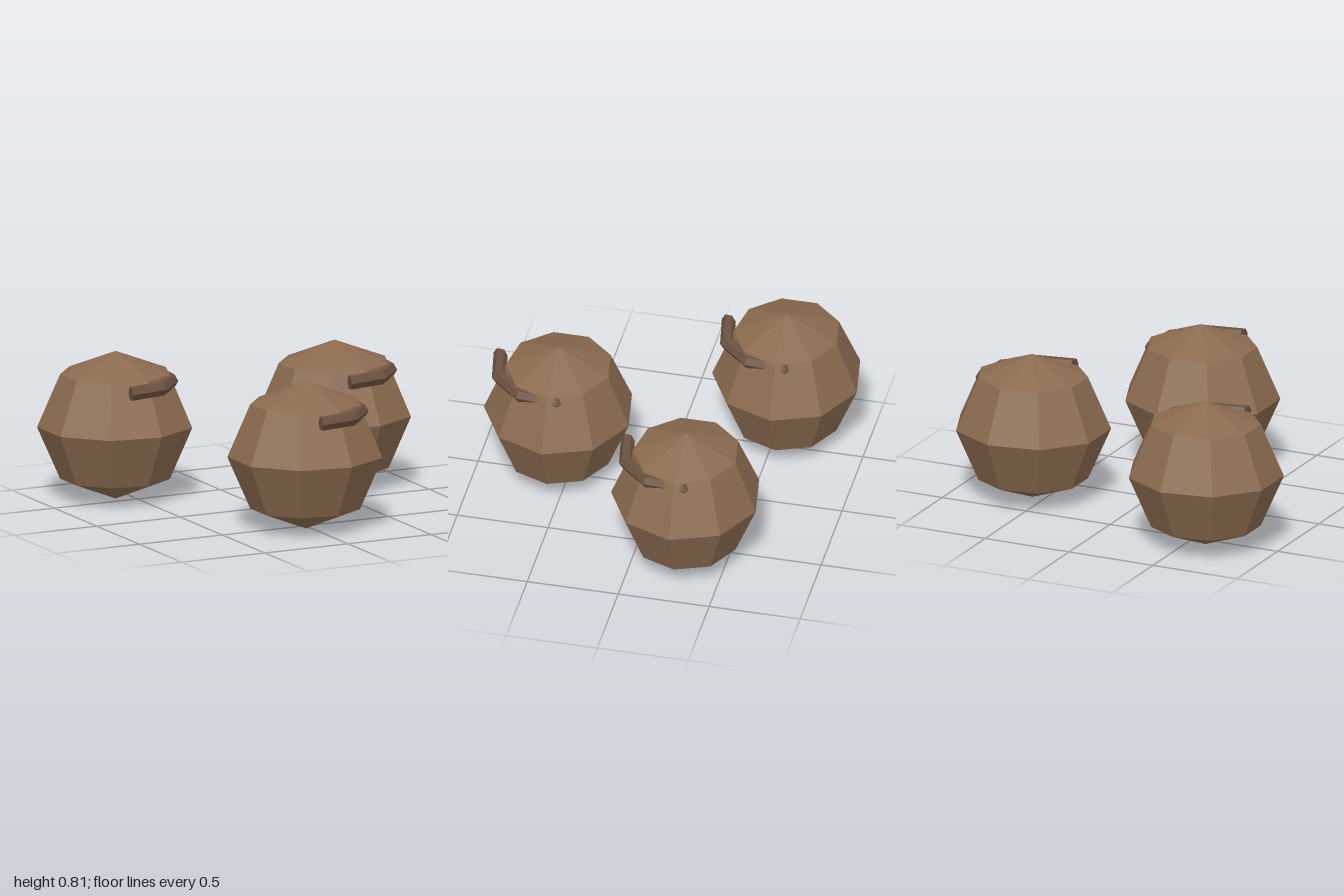
import * as THREE from 'three';
import { mergeGeometries } from 'three/addons/utils/BufferGeometryUtils.js';

const clay = new THREE.MeshStandardMaterial({ color: 0x8b6b4f, flatShading: true });
clay.name = 'brown clay';
const darkClay = new THREE.MeshStandardMaterial({ color: 0x6b5240, flatShading: true });
darkClay.name = 'dark brown clay';

// Nine-sided faceted pot body, with a corner facing +x
function bodyGeometry() {
  const geo = new THREE.SphereGeometry(1, 9, 4, Math.PI);
  geo.scale(0.428, 0.405, 0.404);
  geo.translate(0, 0.405, 0);
  return geo;
}

// Hexagonal band curving round the shoulder, sinking into the body at its far end
function bandGeometry() {
  const radius = 0.32, tube = 0.04, steps = 4;
  const arc = THREE.MathUtils.degToRad(148);
  const ring = new THREE.TorusGeometry(radius, tube, 6, steps, arc);
  const pos = ring.attributes.position;
  for (let i = 0; i < pos.count; i += steps + 1) {
    pos.setXY(i, pos.getX(i) * 0.86, pos.getY(i) * 0.86);
  }
  // Flat end on the exposed tip
  const cap = new THREE.CircleGeometry(tube, 6);
  cap.rotateX(-Math.PI / 2);
  cap.translate(radius, 0, 0);
  cap.rotateZ(arc);
  const geo = mergeGeometries([ring, cap]);
  geo.rotateX(Math.PI / 2);
  geo.rotateY(THREE.MathUtils.degToRad(50));
  geo.translate(-0.039, 0.65, 0.025);
  return geo;
}

export function createModel() {
  const model = new THREE.Group();
  model.name = 'threePots';
  const body = bodyGeometry();
  const band = bandGeometry();
  const spots = [[-0.598, -0.563], [0.572, -0.277], [-0.028, 0.56]];
  spots.forEach(([x, z], i) => {
    const pot = new THREE.Group();
    pot.name = `pot${i + 1}`;
    pot.position.set(x, 0, z);
    const bodyMesh = new THREE.Mesh(body, clay);
    bodyMesh.name = 'potBody';
    const bandMesh = new THREE.Mesh(band, darkClay);
    bandMesh.name = 'shoulderBand';
    pot.add(bodyMesh, bandMesh);
    model.add(pot);
  });
  return model;
}
